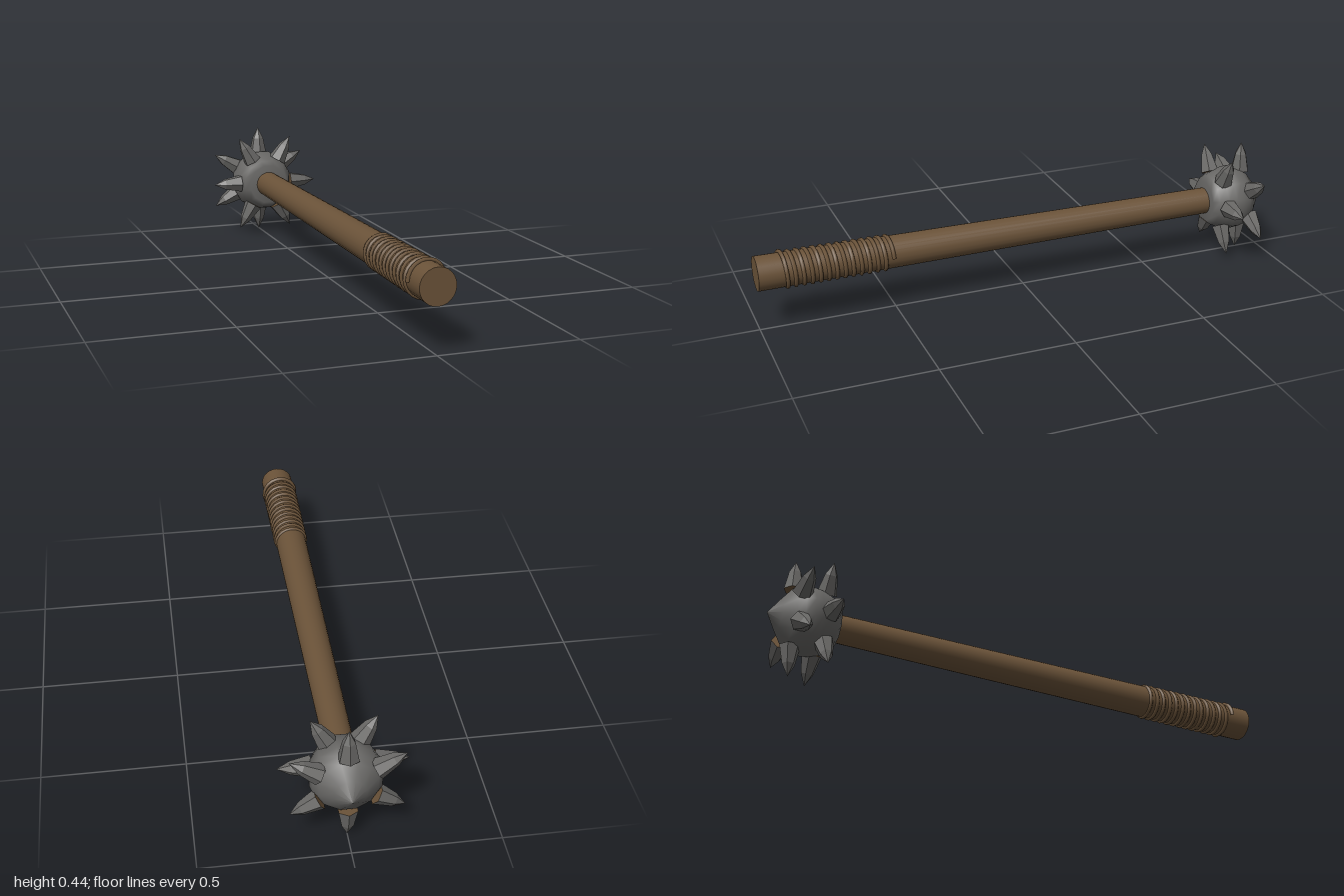
import * as THREE from 'three';

const wood = new THREE.MeshStandardMaterial({ color: 0x6b5339 });
wood.name = 'brown wood';
const iron = new THREE.MeshStandardMaterial({ color: 0x696866 });
iron.name = 'grey iron';
const facetedIron = iron;

const vec2 = ([x, y]) => new THREE.Vector2(x, y);

function addMesh(parent, name, geometry, material) {
  const mesh = new THREE.Mesh(geometry, material);
  mesh.name = name;
  parent.add(mesh);
  return mesh;
}

// Lathe with unshared vertices, so every side stays a crisp facet
function facetedLathe(profile, sides) {
  const geometry = new THREE.LatheGeometry(profile.map(vec2), sides).toNonIndexed();
  geometry.computeVertexNormals();
  return geometry;
}

// Leather cord wound around the grip; the last turn is looser
class GripHelix extends THREE.Curve {
  getPoint(t, target = new THREE.Vector3()) {
    const angle = t * 13.5 * Math.PI * 2;
    const radius = 0.059 + 0.003 * t + 0.004 * THREE.MathUtils.smoothstep(t, 0.92, 1);
    return target.set(Math.cos(angle) * radius, Math.sin(angle) * radius, 0.515 + 0.4 * t);
  }
}

export function createModel() {
  const model = new THREE.Group();
  model.name = 'spikedMace';
  const body = new THREE.Group();
  body.name = 'maceBody';
  body.position.y = 0.22;
  model.add(body);

  // Tapered handle, thicker at the pommel
  const handle = new THREE.CylinderGeometry(0.05, 0.063, 1.8, 24).rotateX(-Math.PI / 2);
  addMesh(body, 'handle', handle, wood).position.z = 0.1;

  // Grip wrapping
  addMesh(body, 'gripWrap', new THREE.TubeGeometry(new GripHelix(), 270, 0.008, 6), wood);

  // Rounded head drawn out to a point at the far end
  const headProfile = [
    [0, 0.757], [0.08, 0.757], [0.098, 0.777], [0.113, 0.81], [0.122, 0.84],
    [0.125, 0.868], [0.118, 0.9], [0.1, 0.925], [0.055, 0.96], [0, 1],
  ].map(vec2);
  const head = new THREE.LatheGeometry(headProfile, 12, Math.PI / 12).rotateX(-Math.PI / 2);
  addMesh(body, 'head', head, iron);

  // Two staggered rings of six hexagonal spikes, with wooden undersides
  const spikeGeometry = facetedLathe([[0.037, 0.107], [0.023, 0.175], [0, 0.22]], 6);
  const baseGeometry = new THREE.CircleGeometry(0.037, 6, Math.PI / 2)
    .rotateX(Math.PI / 2).translate(0, 0.107, 0);
  const rings = [
    { name: 'outerSpike', z: -0.91, turn: 0 },
    { name: 'innerSpike', z: -0.81, turn: Math.PI / 6 },
  ];
  for (const { name, z, turn } of rings) {
    for (let i = 0; i < 6; i++) {
      const spike = new THREE.Group();
      spike.name = name;
      spike.position.z = z;
      spike.rotation.z = turn + (i * Math.PI) / 3;
      addMesh(spike, 'spikeBlade', spikeGeometry, facetedIron);
      addMesh(spike, 'spikeBase', baseGeometry, wood);
      body.add(spike);
    }
  }
  return model;
}
